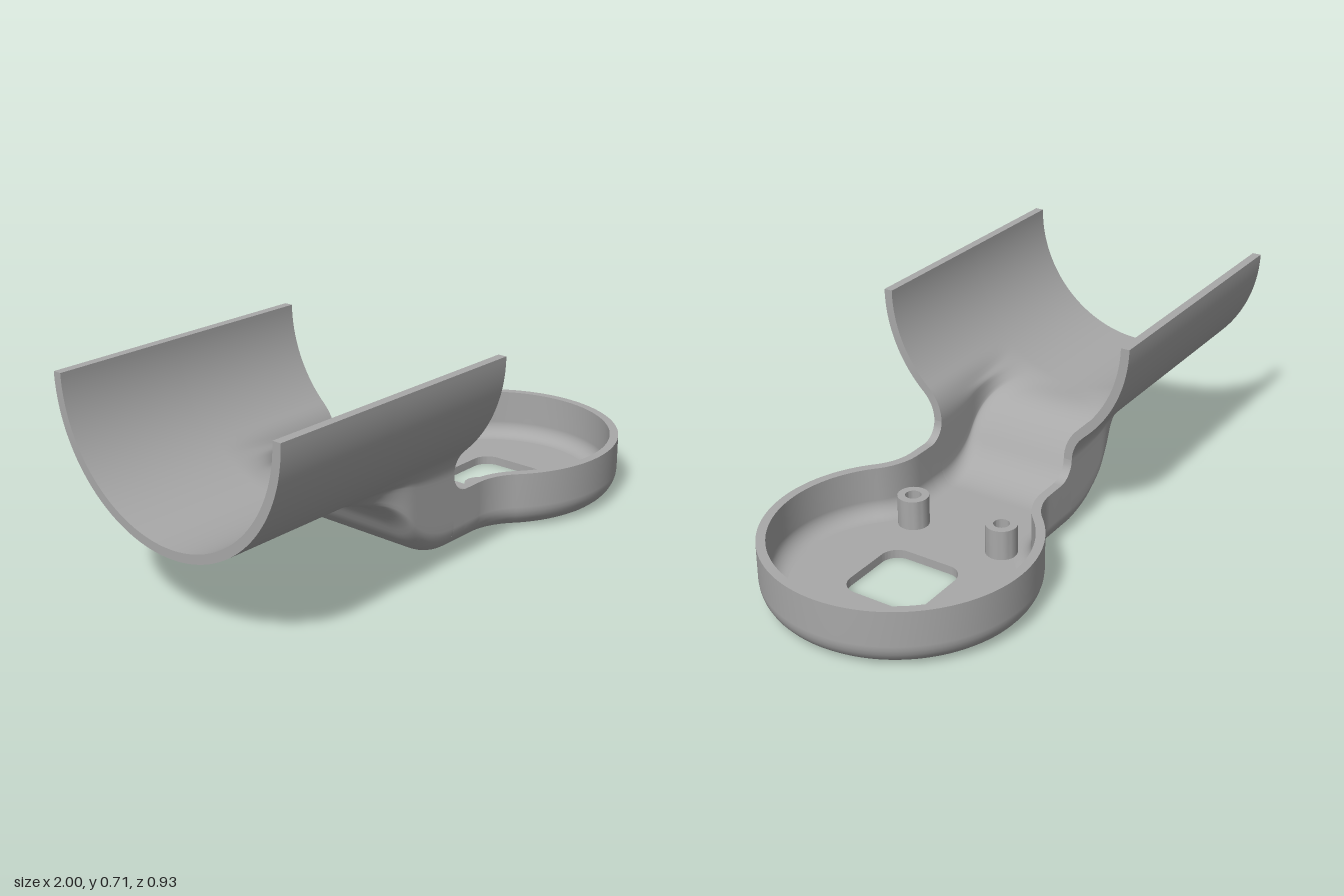
import * as THREE from 'three';
import { mergeGeometries, toCreasedNormals } from 'three/addons/utils/BufferGeometryUtils.js';

const T = 0.03;                              // wall thickness
const AXIS_Y = 0.71, R = 0.466;              // cradle arc
const END = -0.02;                           // where the cradle stops
const W = 0.272, FILLET = 0.085;             // neck half width, bottom edge radius
const CX = 0.555, CR = 0.445, RIM = 0.205;   // round tray
const H = 0.245;                             // cradle underside height

const lerp = THREE.MathUtils.lerp;
const arc = (cx, cy, r, a0, a1, n) => Array.from({ length: n + 1 }, (_, i) => {
  const a = lerp(a0, a1, i / n);
  return [cx + r * Math.cos(a), cy + r * Math.sin(a)];
});

// Surface through rows of points
function grid(rows, flip = false) {
  const n = rows[0].length, idx = [];
  for (let r = 0; r < rows.length - 1; r++) {
    for (let c = 0; c < n - 1; c++) {
      const a = r * n + c, b = a + 1, d = a + n, e = d + 1;
      if (flip) idx.push(a, d, b, b, d, e);
      else idx.push(a, b, d, b, e, d);
    }
  }
  const g = new THREE.BufferGeometry();
  g.setAttribute('position', new THREE.Float32BufferAttribute(rows.flat(2), 3));
  g.setIndex(idx);
  g.computeVertexNormals();
  return g;
}

// S-curve of the floor from the neck up to the cradle, offset inward by o
function floorY(x, o) {
  const L = 0.42, r = (H * H + L * L) / (4 * H);
  const x1 = END, x2 = END - L;
  const ux = -L / (2 * r), joint = x1 + ux * (r - o);
  if (x >= x1) return o;
  if (x <= x2) return H + o;
  return x > joint
    ? r - Math.sqrt((r - o) ** 2 - (x - x1) ** 2)
    : H - r + Math.sqrt((r + o) ** 2 - (x - x2) ** 2);
}

// Cradle section: arc, flare into the neck wall, rounded corner, floor
const FLARE = 0.13, FLARE_Y = 0.27;
const ARC_N = 24, FLARE_N = 8;
const CAP = ARC_N + FLARE_N + 1;
function section(x, o) {
  const a = Math.atan2(AXIS_Y - FLARE_Y, W + FLARE);
  const keep = arc(0, AXIS_Y, R - o, 0, -a, ARC_N);
  const neck = arc(W + FLARE, FLARE_Y, FLARE + o, Math.PI - a, Math.PI, FLARE_N).slice(1);
  for (let i = 1; i < 5; i++) neck.push([W - o, lerp(FLARE_Y, FILLET, i / 5)]);
  neck.push(...arc(W - FILLET, FILLET, FILLET - o, 0, -Math.PI / 2, 7));
  for (let i = 1; i <= 7; i++) neck.push([(W - FILLET) * (1 - i / 7), o]);

  const t = THREE.MathUtils.smoothstep(x, -0.52, -0.22);
  const ref = 0.33, k = (ref - floorY(x, o)) / (ref - o);
  const low = neck.map(([z, y], i) => {
    const b = lerp(-a, -Math.PI / 2, (i + 1) / neck.length);
    const ny = y < ref ? ref - (ref - y) * k : y;
    return [lerp((R - o) * Math.cos(b), z, t), lerp(AXIS_Y + (R - o) * Math.sin(b), ny, t)];
  });
  const half = [...keep, ...low];
  const mirror = half.slice(0, -1).reverse().map(([z, y]) => [-z, y]);
  return [...half, ...mirror].map(([z, y]) => [x, y, z]);
}

function cradleGeometry() {
  const xs = [-1, -0.85, -0.7, -0.6];
  for (let i = 0; i <= 48; i++) xs.push(lerp(-0.54, END, i / 48));
  const outer = xs.map((x) => section(x, 0));
  const inner = xs.map((x) => section(x, T));
  const last = xs.length - 1, n = outer[0].length;
  const column = (rows, c) => rows.map((r) => r[c]);
  return mergeGeometries([
    grid(outer),
    grid(inner, true),
    grid([outer[0], inner[0]], true),
    grid([outer[last].slice(0, CAP), inner[last].slice(0, CAP)]),
    grid([outer[last].slice(n - CAP), inner[last].slice(n - CAP)]),
    grid([column(outer, 0), column(inner, 0)]),
    grid([column(outer, n - 1), column(inner, n - 1)], true),
  ]);
}

// Plan outline of neck and round tray, inset by i
function outline(i) {
  const rf = 0.2, fz = W + rf;
  const fx = CX - Math.sqrt((CR + rf) ** 2 - fz * fz);
  const a = Math.atan2(fz, CX - fx);
  const half = [];
  for (let k = 0; k <= 10; k++) half.push([lerp(END, 0.045, (k / 10) ** 1.5), W - i]);
  half.push(...arc(fx, fz, rf + i, -Math.PI / 2, -a, 12));
  half.push(...arc(CX, 0, CR - i, Math.PI - a, 0, 48).slice(1));
  return [...half, ...half.slice(0, -1).reverse().map(([x, z]) => [x, -z])];
}

// Rim height, sweeping up where it meets the cradle
const rimY = (x) => (x >= 0.045 ? RIM : 0.27 - Math.sqrt(Math.max(0, 0.065 ** 2 - (x - 0.045) ** 2)));

function trayWallGeometry() {
  const wall = (o) => {
    const rows = [outline(o).map(([x, z]) => [x, rimY(x), z])];
    for (let k = 0; k <= 8; k++) {
      const a = (k / 8) * Math.PI / 2, r = FILLET - o;
      rows.push(outline(FILLET - r * Math.cos(a)).map(([x, z]) => [x, FILLET - r * Math.sin(a), z]));
    }
    return rows;
  };
  const outer = wall(0), inner = wall(T);
  return mergeGeometries([grid(outer, true), grid(inner), grid([outer[0], inner[0]])]);
}

const SCREW_X = 0.25, SCREW_Z = 0.173;

// Floor plate with the rounded square opening and two screw holes
function trayFloorGeometry() {
  const shape = new THREE.Shape(outline(FILLET).map(([x, z]) => new THREE.Vector2(x, z)));
  const s = 0.142, r = 0.06, opening = new THREE.Path();
  for (let q = 0; q < 4; q++) {
    const a = q * Math.PI / 2 + Math.PI / 4;
    const d = (s - r) * Math.SQRT2;
    opening.absarc(CX + d * Math.cos(a), d * Math.sin(a), r, a - Math.PI / 4, a + Math.PI / 4, false);
  }
  opening.closePath();
  shape.holes.push(opening);
  for (const side of [1, -1]) {
    shape.holes.push(new THREE.Path().absarc(SCREW_X, side * SCREW_Z, 0.048, 0, Math.PI * 2, true));
  }
  const g = new THREE.ExtrudeGeometry(shape, { depth: T, bevelEnabled: false, curveSegments: 12 });
  g.rotateX(Math.PI / 2).translate(0, T, 0);
  return toCreasedNormals(g, 0.6);
}

// Hollow screw post, countersunk from below
function postGeometry() {
  const profile = [[0.053, T - 0.005], [0.053, 0.135], [0.027, 0.135], [0.027, 0.035], [0.048, 0]];
  const g = new THREE.LatheGeometry(profile.map(([x, y]) => new THREE.Vector2(x, y)), 32);
  return toCreasedNormals(g, 0.5);
}

export function createModel() {
  const grey = new THREE.MeshStandardMaterial({ color: 0xa8a8a8, side: THREE.DoubleSide });
  grey.name = 'plain grey';
  const model = new THREE.Group();
  model.name = 'cradleBracket';
  const add = (name, geometry) => {
    const mesh = new THREE.Mesh(geometry, grey);
    mesh.name = name;
    model.add(mesh);
    return mesh;
  };
  add('cradle', cradleGeometry());
  add('trayWall', trayWallGeometry());
  add('trayFloor', trayFloorGeometry());
  for (const side of [1, -1]) {
    add(side > 0 ? 'frontScrewPost' : 'backScrewPost', postGeometry()).position.set(SCREW_X, 0, side * SCREW_Z);
  }
  return model;
}
